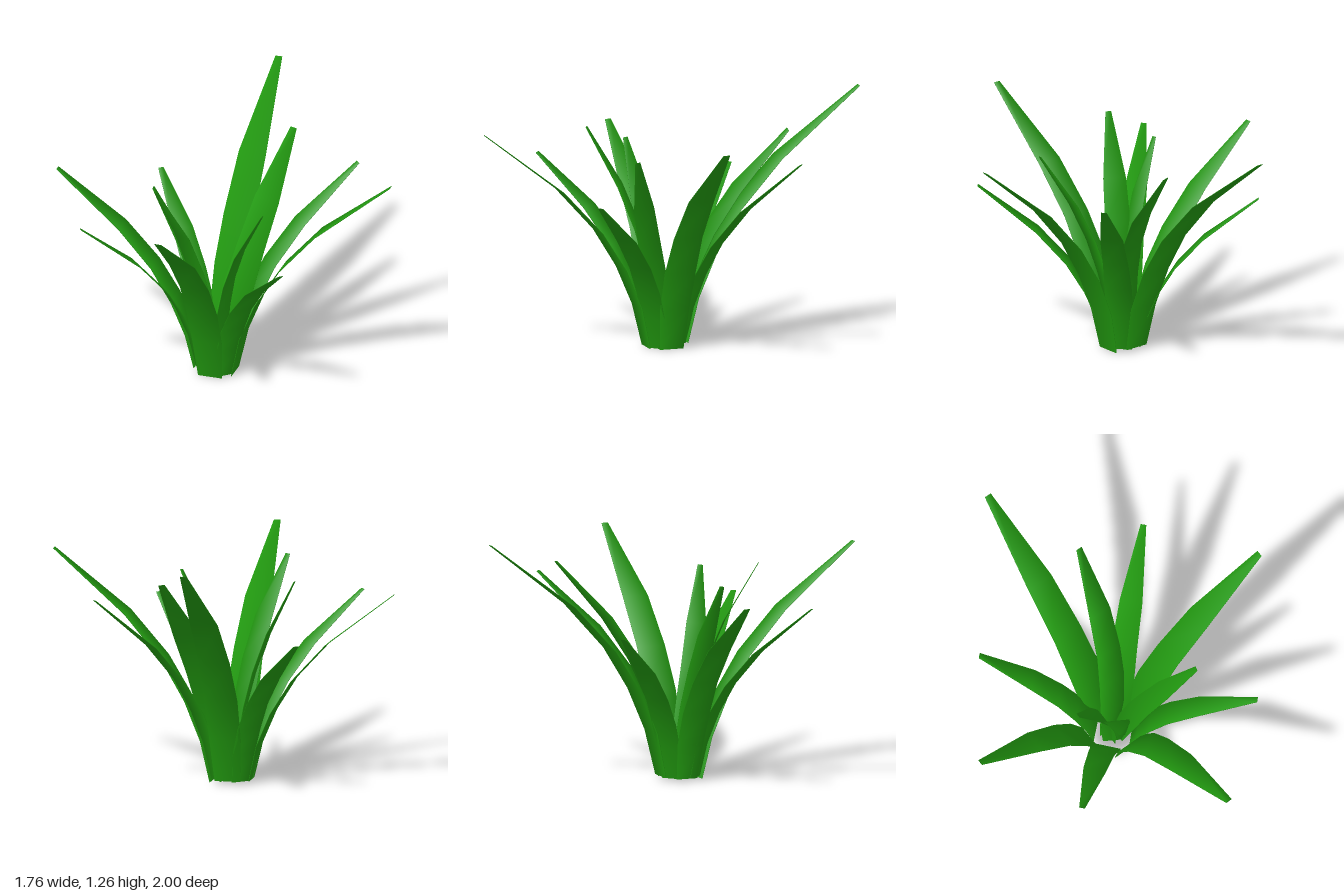
import * as THREE from 'three';

// Shared leaf curve: outward reach, rise and half width at each joint
const REACH = [0, 0.056, 0.155, 0.30, 0.537, 1];
const RISE = [0, 0.185, 0.36, 0.535, 0.73, 1];
const HALF_WIDTH = [0.063, 0.078, 0.082, 0.076, 0.068, 0.017];
const HALF_THICKNESS = 0.0015;
const CENTRE = new THREE.Vector3(-0.042, 0, 0.038);

// One thin blade growing outward at `degrees` (0 = +x, 90 = +z) and ending at `tip`
function leafGeometry(degrees, tip, radius, baseY, widthScale) {
  const a = THREE.MathUtils.degToRad(degrees);
  const out = new THREE.Vector3(Math.cos(a), 0, Math.sin(a));
  const side = new THREE.Vector3(-Math.sin(a), 0, Math.cos(a));
  const up = new THREE.Vector3(0, 1, 0);
  const base = CENTRE.clone().addScaledVector(out, radius).setY(baseY);
  const span = new THREE.Vector3(...tip).sub(base);
  const reach = span.dot(out), drift = span.dot(side), height = span.y;

  const path = REACH.map((h, i) => base.clone()
    .addScaledVector(out, reach * h)
    .addScaledVector(side, drift * RISE[i])
    .addScaledVector(up, height * RISE[i]));
  // Sideways lean tilts the blade's width as well
  const across = side.clone().multiplyScalar(height).addScaledVector(up, -drift).normalize();

  const positions = [], normals = [], index = [];
  const corners = [[-1, 1], [1, 1], [1, -1], [-1, -1]];
  path.forEach((p, i) => {
    const tangent = path[Math.min(i + 1, 5)].clone().sub(path[Math.max(i - 1, 0)]).normalize();
    const face = new THREE.Vector3().crossVectors(across, tangent).normalize();
    for (const [s, t] of corners) {
      const v = p.clone()
        .addScaledVector(across, s * HALF_WIDTH[i] * widthScale)
        .addScaledVector(face, t * HALF_THICKNESS);
      positions.push(v.x, v.y, v.z);
      // Rounded normals shade the flat blade softly towards its edges
      const n = face.clone().multiplyScalar(t).addScaledVector(across, s * 0.7).normalize();
      normals.push(n.x, n.y, n.z);
    }
  });
  for (let i = 0; i < path.length - 1; i++) {
    for (let k = 0; k < 4; k++) {
      const p = i * 4 + k, q = i * 4 + (k + 1) % 4;
      index.push(p, q, q + 4, p, q + 4, p + 4);
    }
  }
  // End caps
  const e = (path.length - 1) * 4;
  index.push(0, 2, 1, 0, 3, 2, e, e + 1, e + 2, e, e + 2, e + 3);

  const geometry = new THREE.BufferGeometry();
  geometry.setAttribute('position', new THREE.Float32BufferAttribute(positions, 3));
  geometry.setAttribute('normal', new THREE.Float32BufferAttribute(normals, 3));
  geometry.setIndex(index);
  return geometry;
}

export function createModel() {
  const plant = new THREE.Group();
  plant.name = 'plant';
  const green = new THREE.MeshStandardMaterial({ color: 0x229a10, side: THREE.DoubleSide });

  // name, direction, tip, base radius, base height, width scale
  const leaves = [
    ['frontLeaf', 90, [-0.037, 1.155, 1], 0.10, 0.012, 1],
    ['backLeaf', -90, [-0.048, 1.275, -1], 0.10, 0.03, 1.05],
    ['leftLeaf', 0, [0.88, 1.165, 0.038], 0.10, 0.012, 1],
    ['rightLeaf', 180, [-0.88, 1.01, 0.042], 0.10, 0.025, 0.9],
    ['backLeftLeaf', -42, [0.54, 1.015, -0.48], 0.09, 0.025, 0.85],
    ['backRightLeaf', -132, [-0.5, 0.83, -0.47], 0.09, 0.025, 0.8],
    ['frontRightLeaf', 139.5, [-0.6, 0.93, 0.52], 0.09, 0.025, 0.85],
    ['frontLeftLeaf', 46, [0.47, 0.85, 0.565], 0.09, 0.012, 0.8],
    ['innerBackLeaf', -90, [0.18, 1.125, -0.54], 0.03, 0.03, 0.95],
    ['innerLeftLeaf', 15, [0.285, 1.03, 0.3], 0.03, 0.03, 0.75],
    ['innerFrontLeaf', 121, [-0.245, 1.12, 0.385], 0.03, 0.03, 0.85],
    ['innerRightLeaf', 180, [-0.34, 1.03, 0.143], 0.02, 0.03, 0.7],
  ];
  for (const [name, ...shape] of leaves) {
    const leaf = new THREE.Mesh(leafGeometry(...shape), green);
    leaf.name = name;
    plant.add(leaf);
  }

  // Stand the plant on the ground
  plant.position.y = -new THREE.Box3().setFromObject(plant).min.y;
  return plant;
}
